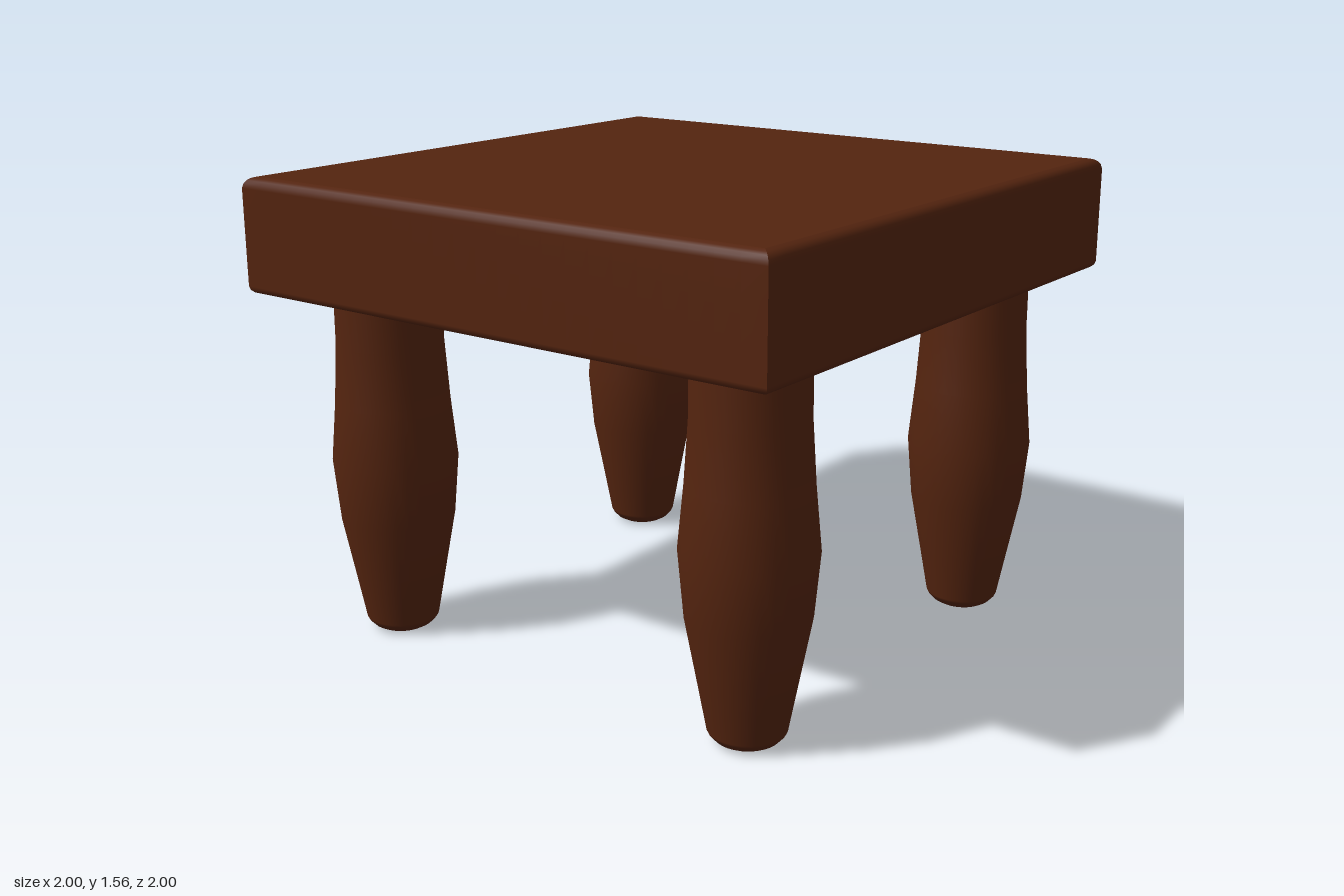
import * as THREE from 'three';

const wood = new THREE.MeshStandardMaterial({ color: 0x54240f });
wood.name = 'dark brown wood';

// Thick square top: sharp upright corners, rounded upper and lower rims
function makeTop() {
  // [height, inset from the full half width] for each row of the sides
  const rows = [
    [1.18, 0.03], [1.184, 0.013], [1.192, 0.004], [1.205, 0],
    [1.52, 0], [1.535, 0.004], [1.545, 0.011], [1.552, 0.021], [1.556, 0.036],
  ];
  const geo = new THREE.BoxGeometry(2, 1, 2, 24, rows.length - 1, 24);
  const pos = geo.attributes.position;
  // underside swells slightly around the legs
  const swell = (a) => THREE.MathUtils.smoothstep(Math.abs(a), 0, 0.5)
    * (1 - THREE.MathUtils.smoothstep(Math.abs(a), 0.85, 1));
  for (let i = 0; i < pos.count; i++) {
    const row = Math.round((pos.getY(i) + 0.5) * (rows.length - 1));
    const [height, inset] = rows[row];
    const x = pos.getX(i) * (1 - inset);
    const z = pos.getZ(i) * (1 - inset);
    let y = height;
    if (row === 0) y -= 0.012 * swell(x) * swell(z);
    // faint worn crease across the middle of the seat
    if (row === rows.length - 1) {
      y -= 0.005 * Math.max(0, 1 - Math.abs(z) / 0.5) * Math.max(0, 1 - x * x);
    }
    pos.setXYZ(i, x, y, z);
  }
  geo.computeVertexNormals();
  const top = new THREE.Mesh(geo, wood);
  top.name = 'seatTop';
  return top;
}

// Turned leg with a swollen middle and a chamfered foot
function makeLegGeometry() {
  const profile = [
    [0, 0], [0.078, 0], [0.08, 0.001], [0.1, 0.012], [0.117, 0.03], [0.122, 0.04],
    [0.152, 0.2], [0.19, 0.4], [0.208, 0.6], [0.189, 0.8], [0.176, 1.0], [0.175, 1.22],
  ];
  return new THREE.LatheGeometry(profile.map(([r, y]) => new THREE.Vector2(r, y)), 32);
}

export function createModel() {
  const model = new THREE.Group();
  model.name = 'stool';
  model.add(makeTop());

  const legGeometry = makeLegGeometry();
  for (const [sx, side] of [[1, 'Left'], [-1, 'Right']]) {
    for (const [sz, end] of [[1, 'front'], [-1, 'back']]) {
      const leg = new THREE.Mesh(legGeometry, wood);
      leg.name = end + side + 'Leg';
      leg.position.set(sx * 0.665, 0, sz * 0.72);
      model.add(leg);
    }
  }
  return model;
}
